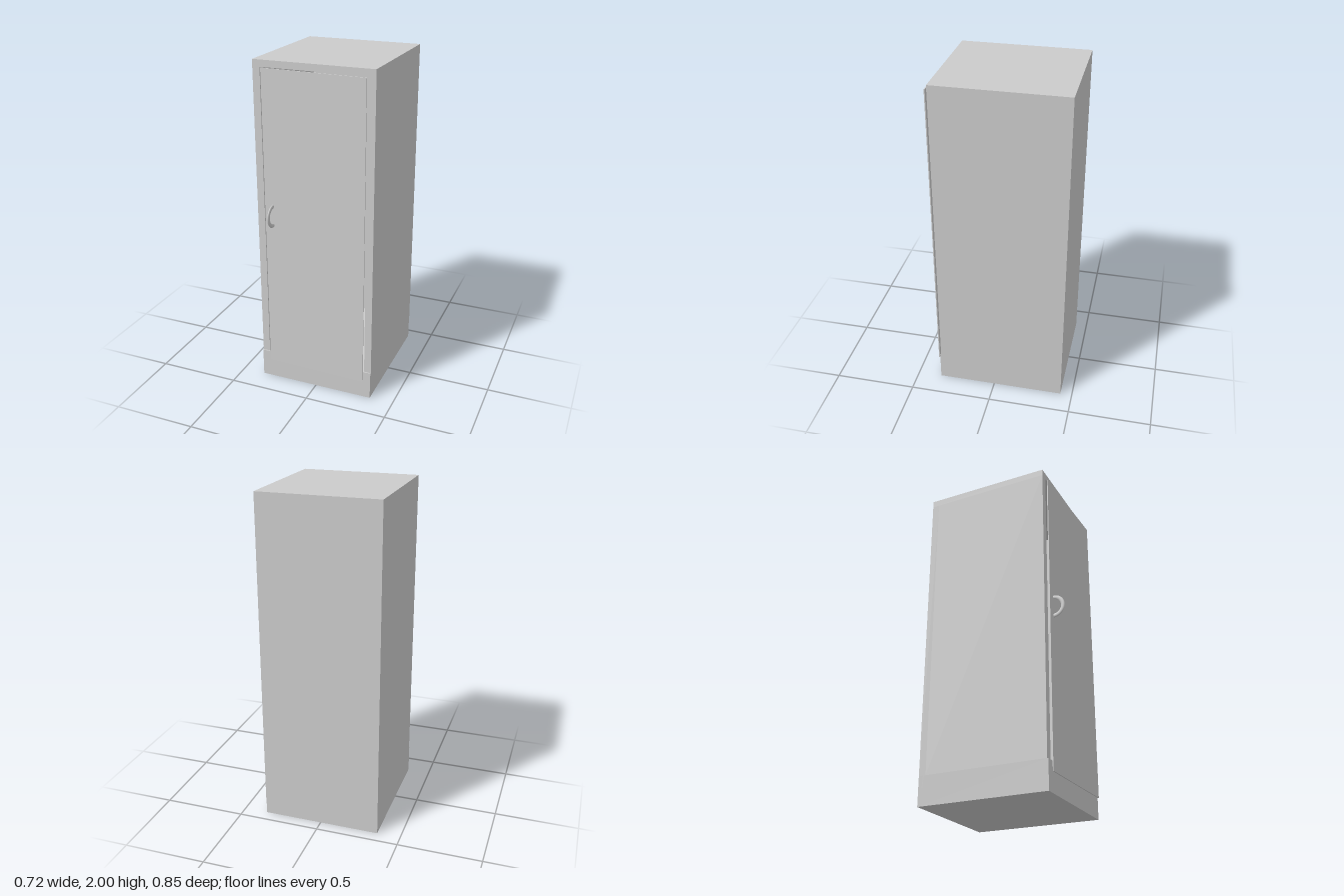
import * as THREE from 'three';

const material = new THREE.MeshStandardMaterial({ color: 0xcccccc });

// Box given by its lower and upper limits on each axis
function panel(name, [x0, x1], [y0, y1], [z0, z1]) {
  const geometry = new THREE.BoxGeometry(x1 - x0, y1 - y0, z1 - z0);
  const mesh = new THREE.Mesh(geometry, material);
  mesh.position.set((x0 + x1) / 2, (y0 + y1) / 2, (z0 + z1) / 2);
  mesh.name = name;
  return mesh;
}

export function createModel() {
  const cabinet = new THREE.Group();
  cabinet.name = 'cabinet';

  // Hollow carcass: its walls meet the plinth, whose top is the inner floor
  const back = -0.428, backInner = -0.385, front = 0.345;
  cabinet.add(
    panel('plinth', [-0.359, 0.355], [0, 0.172], [back, 0.352]),
    panel('rightWall', [-0.359, -0.315], [0.172, 1.96], [backInner, front]),
    panel('leftWall', [0.314, 0.357], [0.105, 1.96], [backInner, front]),
    panel('backPanel', [-0.359, 0.357], [0.105, 1.96], [back, backInner]),
    panel('topPanel', [-0.359, 0.357], [1.96, 2], [back, front])
  );

  // Door standing slightly ajar, turned about its edge on the -x side
  const door = new THREE.Group();
  door.name = 'door';
  door.position.set(-0.305, 0, 0.35);
  door.rotation.y = -0.029;
  door.add(panel('doorLeaf', [0, 0.62], [0.117, 1.958], [0, 0.006]));

  // Flattened half-ring pull handle
  const ring = new THREE.TorusGeometry(0.059, 0.012, 12, 32, Math.PI);
  ring.rotateZ(-Math.PI / 2);
  ring.rotateY(-Math.PI / 2);
  ring.scale(0.5, 1, 1);
  const handle = new THREE.Mesh(ring, material);
  handle.name = 'handle';
  handle.position.set(0.05, 1.1, 0.004);
  door.add(handle);

  cabinet.add(door);
  return cabinet;
}
